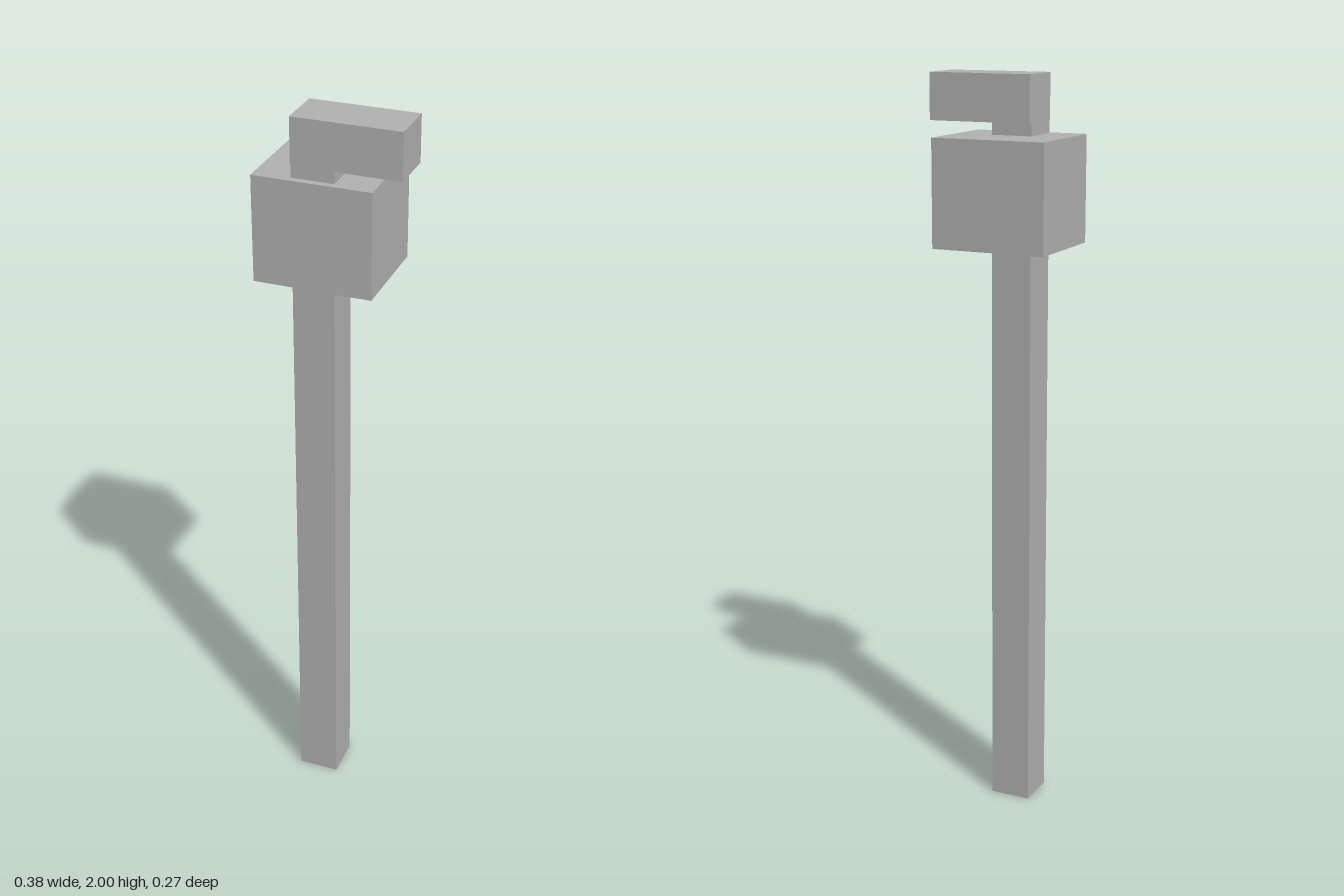
import * as THREE from 'three';

export function createModel() {
  const model = new THREE.Group();
  model.name = 'signalPost';

  const grey = new THREE.MeshStandardMaterial({ color: 0xb2b2b2 });
  grey.name = 'grey';

  // Adds a box spanning the given [min, max] range on each axis
  function addBox(name, [x0, x1], [y0, y1], [z0, z1]) {
    const mesh = new THREE.Mesh(new THREE.BoxGeometry(x1 - x0, y1 - y0, z1 - z0), grey);
    mesh.name = name;
    mesh.position.set((x0 + x1) / 2, (y0 + y1) / 2, (z0 + z1) / 2);
    model.add(mesh);
  }

  // Tall post, running through the block up to the arm
  addBox('post', [-0.093, 0.018], [0, 1.88], [0.004, 0.116]);

  // Large block near the top
  addBox('headBlock', [-0.19, 0.12], [1.566, 1.846], [-0.135, 0.134]);

  // Short arm overhanging to the left
  addBox('topArm', [-0.093, 0.19], [1.878, 2], [-0.008, 0.12]);

  return model;
}
